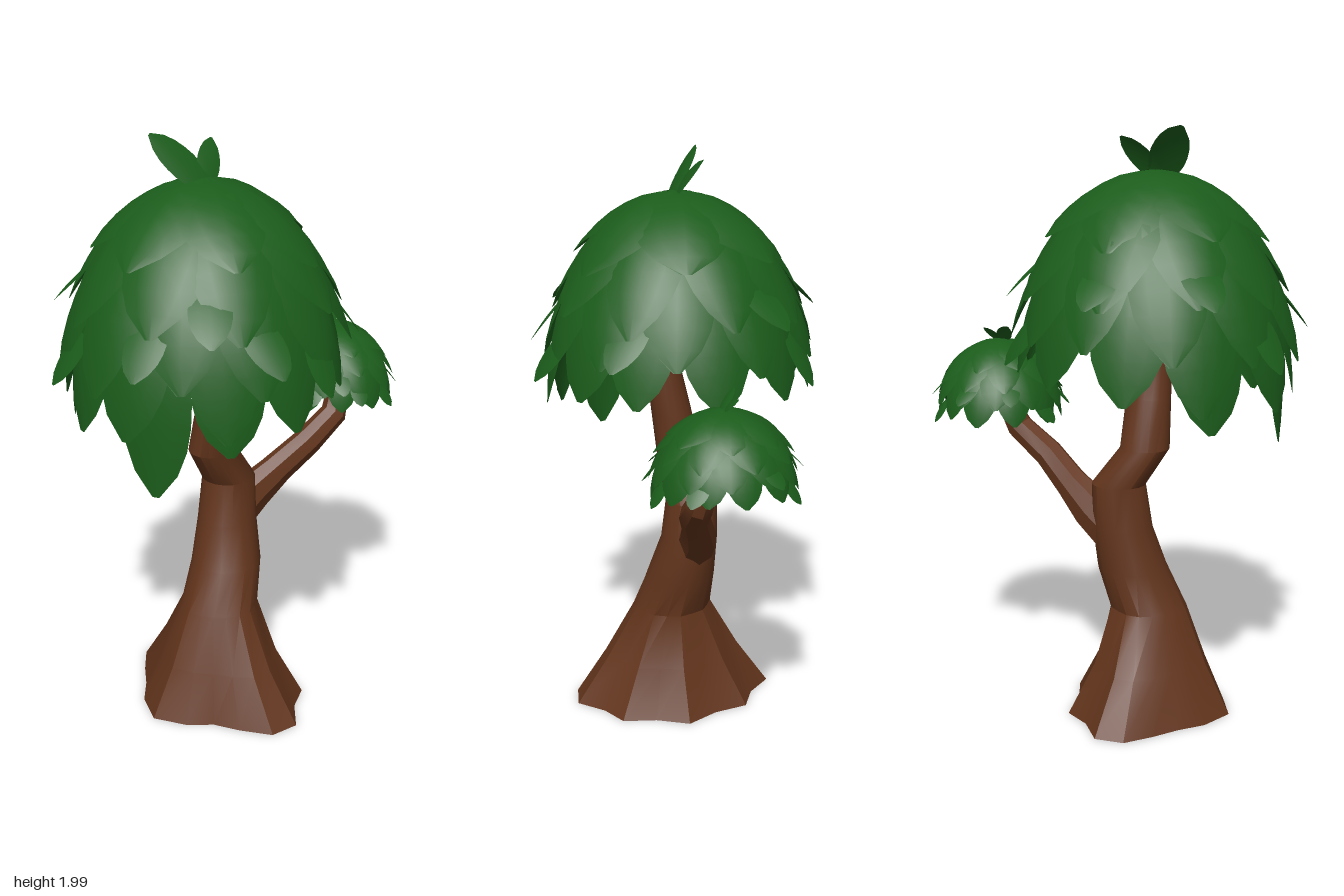
import * as THREE from 'three';
import { mergeGeometries, toCreasedNormals } from 'three/addons/utils/BufferGeometryUtils.js';

const V3 = (x, y, z) => new THREE.Vector3(x, y, z);
const bark = new THREE.MeshStandardMaterial({ color: 0x63351c, side: THREE.DoubleSide });
const green = new THREE.MeshStandardMaterial({ color: 0x1b5c1b, side: THREE.DoubleSide });

function seeded(seed) {
  return () => (seed = (seed * 16807) % 2147483647) / 2147483647;
}

// Surface through a grid of rows of points
function skin(rows, closed) {
  const n = rows[0].length, pos = [], index = [];
  rows.forEach(row => row.forEach(p => pos.push(p.x, p.y, p.z)));
  for (let i = 0; i < rows.length - 1; i++) {
    for (let j = 0; j < (closed ? n : n - 1); j++) {
      const a = i * n + j, b = i * n + (j + 1) % n;
      if (closed) index.push(a, a + n, b, b, a + n, b + n);
      else index.push(a, b, a + n, b, b + n, a + n);
    }
  }
  const geo = new THREE.BufferGeometry();
  geo.setAttribute('position', new THREE.Float32BufferAttribute(pos, 3));
  geo.setIndex(index);
  geo.computeVertexNormals();
  return geo;
}

// How far each side of the trunk is drawn in between the roots
const rootFolds = [0, 1, 0.3, 1, 0, 0.3, 1.6, 2.2, 1.2, 0, 0.8, 1.6, 1.3, 0.3, 0, 1, 0.2, 1];

// Limb from rings [x, y, z, radiusX, radiusZ, tilt towards +x, fold depth]
function limb(name, sides, rings) {
  const rows = rings.map(([x, y, z, rx, rz, tilt = 0, fold = 0]) =>
    Array.from({ length: sides }, (_, j) => {
      const a = j / sides * Math.PI * 2;
      const k = 1 - fold * rootFolds[j];
      const c = Math.cos(a) * rx * k;
      return V3(x + c * Math.cos(tilt), y - c * Math.sin(tilt), z + Math.sin(a) * rz * k);
    }));
  const mesh = new THREE.Mesh(toCreasedNormals(skin(rows, true), 0.5), bark);
  mesh.name = name;
  return mesh;
}

// Leaf along a path; frame(s) gives the midline point and its outward normal
const outline = [0.34, 0.7, 0.91, 1, 0.98, 0.87, 0.62, 0.1];
function leaf(frame, side, halfWidth) {
  const rows = outline.map((w, i) => {
    const { p, n } = frame(i / (outline.length - 1));
    return [-1, -0.55, 0, 0.55, 1].map(u => {
      const across = u * w * halfWidth;
      return p.clone().addScaledVector(side, across).addScaledVector(n, -2 * across * across);
    });
  });
  return skin(rows, false);
}

// Dome outline as (radius, height below the apex)
const dome = new THREE.SplineCurve([[0, 0], [0.12, -0.035], [0.235, -0.12], [0.325, -0.25],
  [0.39, -0.42], [0.415, -0.62], [0.4, -0.9]].map(([r, y]) => new THREE.Vector2(r, y)));

// Leaf lying on the dome from t0 to t1, its tip lifted off the surface
function domeLeaf(az, t0, t1, halfWidth, lift, skew = 0) {
  const frame = s => {
    const t = Math.min(t0 + (t1 - t0) * s, 1);
    const p = dome.getPointAt(t), d = dome.getTangentAt(t);
    const off = 0.005 + lift * s;
    const a = az + skew * s;
    const r = p.x - d.y * off, y = p.y + d.x * off;
    return { p: V3(Math.cos(a) * r, y, Math.sin(a) * r), n: V3(-d.y * Math.cos(a), d.x, -d.y * Math.sin(a)) };
  };
  return leaf(frame, V3(-Math.sin(az), 0, Math.cos(az)), halfWidth);
}

// Upright leaf of the sprig on the apex
function sprigLeaf(from, to, halfWidth) {
  const dir = to.clone().sub(from).normalize();
  const n = V3(0, 0.55, 0.83);
  const side = n.clone().cross(dir).normalize();
  return leaf(s => ({ p: from.clone().lerp(to, s).addScaledVector(n, -0.03 * s * s), n }), side, halfWidth);
}

function canopy(name, seed, flareDrop, hanging) {
  const rnd = seeded(seed), jitter = k => (rnd() - 0.5) * k;
  const group = new THREE.Group();
  group.name = name;
  const add = (part, geos) => {
    const mesh = new THREE.Mesh(mergeGeometries(geos), green);
    mesh.name = part;
    group.add(mesh);
  };

  // Overlapping tiers: [count, t0, t1, half width, lift, extra drop on the -x side]
  const tiers = [[7, 0, 0.385, 0.15, 0.04, 0], [9, 0.1, 0.54, 0.135, 0.05, 0],
    [11, 0.24, 0.68, 0.12, 0.05, 0.02], [11, 0.38, 0.8, 0.12, 0.035, 0.05]];
  tiers.forEach(([count, t0, t1, w, lift, drop], k) => {
    const geos = [];
    for (let i = 0; i < count; i++) {
      const az = (i + 0.5 * (k % 2) + jitter(0.15)) / count * Math.PI * 2 + 0.2;
      const end = t1 + jitter(0.05) - drop * Math.cos(az);
      geos.push(domeLeaf(az, t0, end, w * (1 + jitter(0.15)), lift + rnd() * 0.015, jitter(0.08)));
    }
    add('leafTier' + (k + 1), geos);
  });

  // Small leaves that flare away from the dome
  const flares = [-2.32, -2.88, 2.68, 2.23, 1.33, 0.57, -0.47, -0.9, 1.9, -1.6];
  add('flaringLeaves', flares.map((az, i) => {
    const t0 = [0.39, 0.56, 0.48][i % 3] + flareDrop;
    return domeLeaf(az, t0, t0 + 0.17, 0.066, 0.095, jitter(0.2));
  }));

  // Long leaves that hang below the rim
  if (hanging.length) add('hangingLeaves', hanging.map(([az, t1]) => domeLeaf(az, 0.5, t1, 0.115, 0.02)));

  add('topSprig', [
    sprigLeaf(V3(0.01, -0.03, 0.03), V3(-0.13, 0.155, -0.07), 0.06),
    sprigLeaf(V3(-0.01, -0.03, 0.02), V3(0.095, 0.125, -0.04), 0.042)]);
  return group;
}

export function createModel() {
  const tree = new THREE.Group();
  tree.name = 'tree';

  // Trunk with a folded, open root flare
  tree.add(limb('trunk', 18, [
    [-0.16, 0, 0, 0.29, 0.37, 0, 0.13],
    [-0.16, 0.17, 0, 0.2, 0.25, 0, 0.09],
    [-0.145, 0.36, 0, 0.137, 0.142, 0, 0.04],
    [-0.09, 0.5, -0.02, 0.122, 0.122],
    [-0.062, 0.65, -0.045, 0.105, 0.1],
    [-0.05, 0.8, -0.05, 0.094, 0.09],
    [-0.138, 0.93, -0.03, 0.085, 0.08],
    [-0.138, 1.1, 0, 0.077, 0.07],
    [-0.142, 1.27, 0.03, 0.064, 0.06],
    [-0.15, 1.55, 0.02, 0.05, 0.05],
    [-0.16, 1.7, 0, 0.001, 0.001]]));

  // Side branch, rising at its end into the small crown
  tree.add(limb('sideBranch', 8, [
    [-0.04, 0.63, -0.06, 0.09, 0.07, 0.8],
    [0.05, 0.695, -0.05, 0.08, 0.065, 0.8],
    [0.15, 0.77, -0.02, 0.06, 0.056, 0.87],
    [0.26, 0.855, 0.02, 0.053, 0.052, 0.9],
    [0.385, 0.94, 0.035, 0.048, 0.047, 0.7],
    [0.42, 1.02, 0.02, 0.04, 0.04, 0.15],
    [0.425, 1.18, -0.01, 0.03, 0.03],
    [0.425, 1.23, -0.02, 0.001, 0.001]]));

  const main = canopy('mainCrown', 41, 0, [[2.65, 1], [-2.4, 0.89], [2.1, 0.87]]);
  main.position.set(-0.17, 1.85, -0.03);
  tree.add(main);

  const small = canopy('smallCrown', 97, 0.1, []);
  small.position.set(0.425, 1.265, -0.03);
  small.scale.set(0.47, 0.38, 0.5);
  tree.add(small);

  return tree;
}
